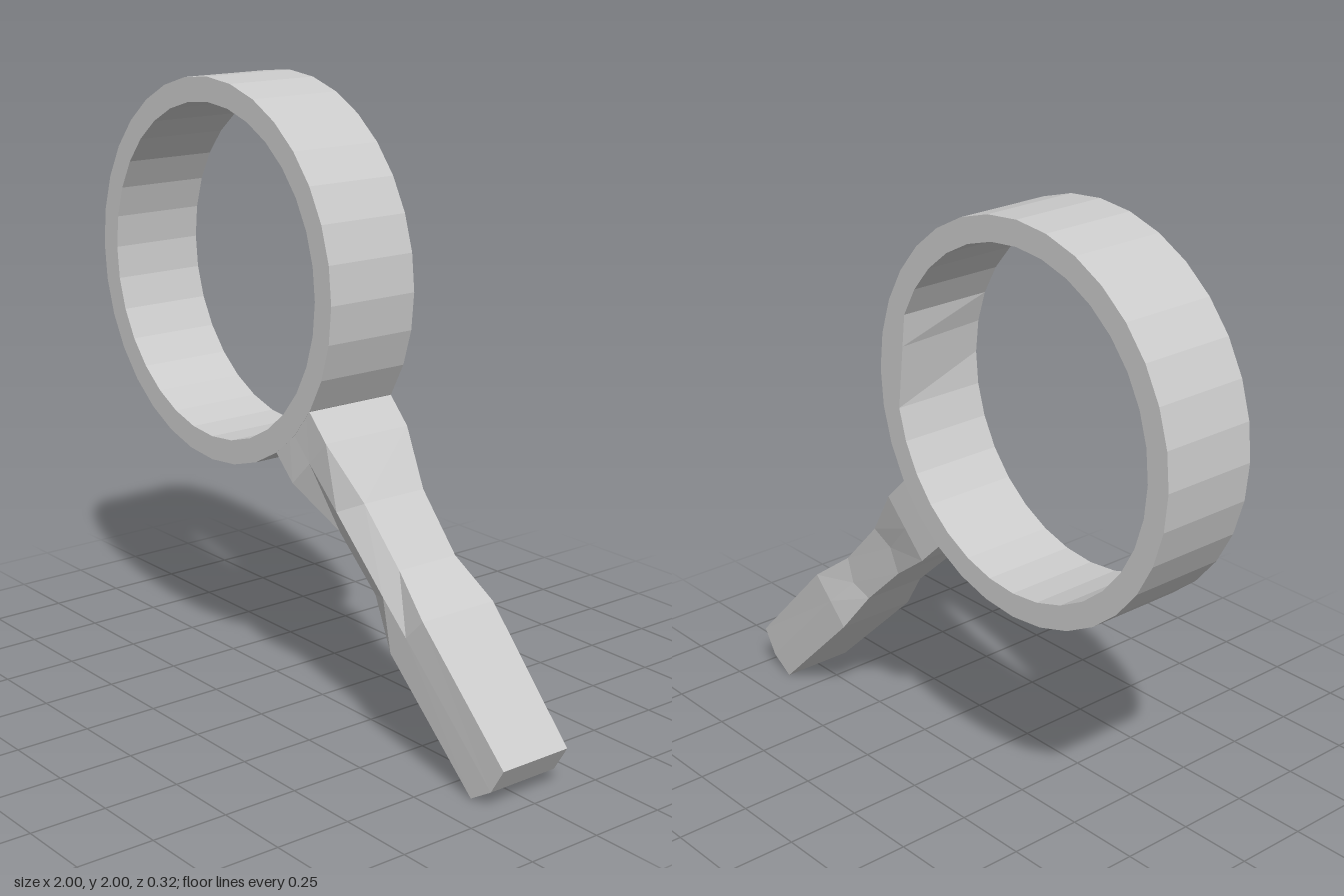
import * as THREE from 'three';

const CENTER = [-0.376, 1.376];
const OUTER = 0.624, INNER = 0.545, HALF = 0.1625, SIDES = 32;

function circlePoints(radius) {
  return Array.from({ length: SIDES }, (_, i) => {
    const a = (i / SIDES) * Math.PI * 2;
    return new THREE.Vector2(Math.cos(a) * radius, Math.sin(a) * radius);
  });
}

// Faceted rim: an annulus extruded along z
function createRim() {
  const shape = new THREE.Shape(circlePoints(OUTER));
  shape.holes.push(new THREE.Path(circlePoints(INNER)));
  const geo = new THREE.ExtrudeGeometry(shape, { depth: HALF * 2, bevelEnabled: false });
  geo.translate(0, 0, -HALF);

  // One flattened stretch on the inner back edge, between two kept corners
  const step = (Math.PI * 2) / SIDES;
  const pos = geo.attributes.position;
  const middle = step / 2, chord = INNER * Math.cos(step * 1.5);
  for (let i = 0; i < pos.count; i++) {
    const x = pos.getX(i), y = pos.getY(i);
    const off = Math.atan2(y, x) - middle;
    if (pos.getZ(i) < 0 && Math.hypot(x, y) < INNER + 0.01 && Math.abs(off) < step) {
      const r = chord / Math.cos(off);
      pos.setXY(i, x * r / INNER, y * r / INNER);
    }
  }
  geo.computeVertexNormals();
  geo.translate(CENTER[0], CENTER[1], 0);
  return geo;
}

// Handle: six-point sections lofted along the 45 degree diagonal
function createHandle() {
  // distance from rim centre, half width, front edge z, front ridge z, back z, middle offset
  const sections = [
    [0.585, 0.120, 0.1625, 0.1625, 0.1625, 0],
    [0.728, 0.118, 0.162, 0.160, 0.162, 0],
    [0.935, 0.085, 0.110, 0.154, 0.125, -0.03],
    [1.168, 0.078, 0.105, 0.146, 0.118, 0.04],
    [1.350, 0.103, 0.138, 0.140, 0.143, 0],
    [1.845, 0.096, 0.125, 0.125, 0.130, 0.023],
  ];
  const place = (t, s, z) => [
    CENTER[0] + (t + s) * Math.SQRT1_2,
    CENTER[1] + (s - t) * Math.SQRT1_2,
    z,
  ];
  const rings = sections.map(([t, w, edge, ridge, back, shift]) => [
    place(t, -w, -back), place(t + shift, 0, -back), place(t, w, -back),
    place(t, w, edge), place(t + shift, 0, ridge), place(t, -w, edge),
  ]);

  const verts = [];
  const quad = (a, b, c, d) => verts.push(...a, ...b, ...c, ...a, ...c, ...d);
  for (let i = 0; i < rings.length - 1; i++) {
    for (let j = 0; j < 6; j++) {
      const k = (j + 1) % 6;
      quad(rings[i][j], rings[i][k], rings[i + 1][k], rings[i + 1][j]);
    }
  }
  // End face in two facets that meet in a shallow point
  const e = rings[rings.length - 1];
  quad(e[0], e[1], e[4], e[5]);
  quad(e[1], e[2], e[3], e[4]);

  const geo = new THREE.BufferGeometry();
  geo.setAttribute('position', new THREE.Float32BufferAttribute(verts, 3));
  geo.computeVertexNormals();
  return geo;
}

export function createModel() {
  const group = new THREE.Group();
  group.name = 'magnifierFrame';
  const material = new THREE.MeshStandardMaterial({ color: 0xcccccc, flatShading: true });
  const parts = { rim: createRim(), handle: createHandle() };
  for (const [name, geometry] of Object.entries(parts)) {
    const mesh = new THREE.Mesh(geometry, material);
    mesh.name = name;
    group.add(mesh);
  }
  return group;
}
